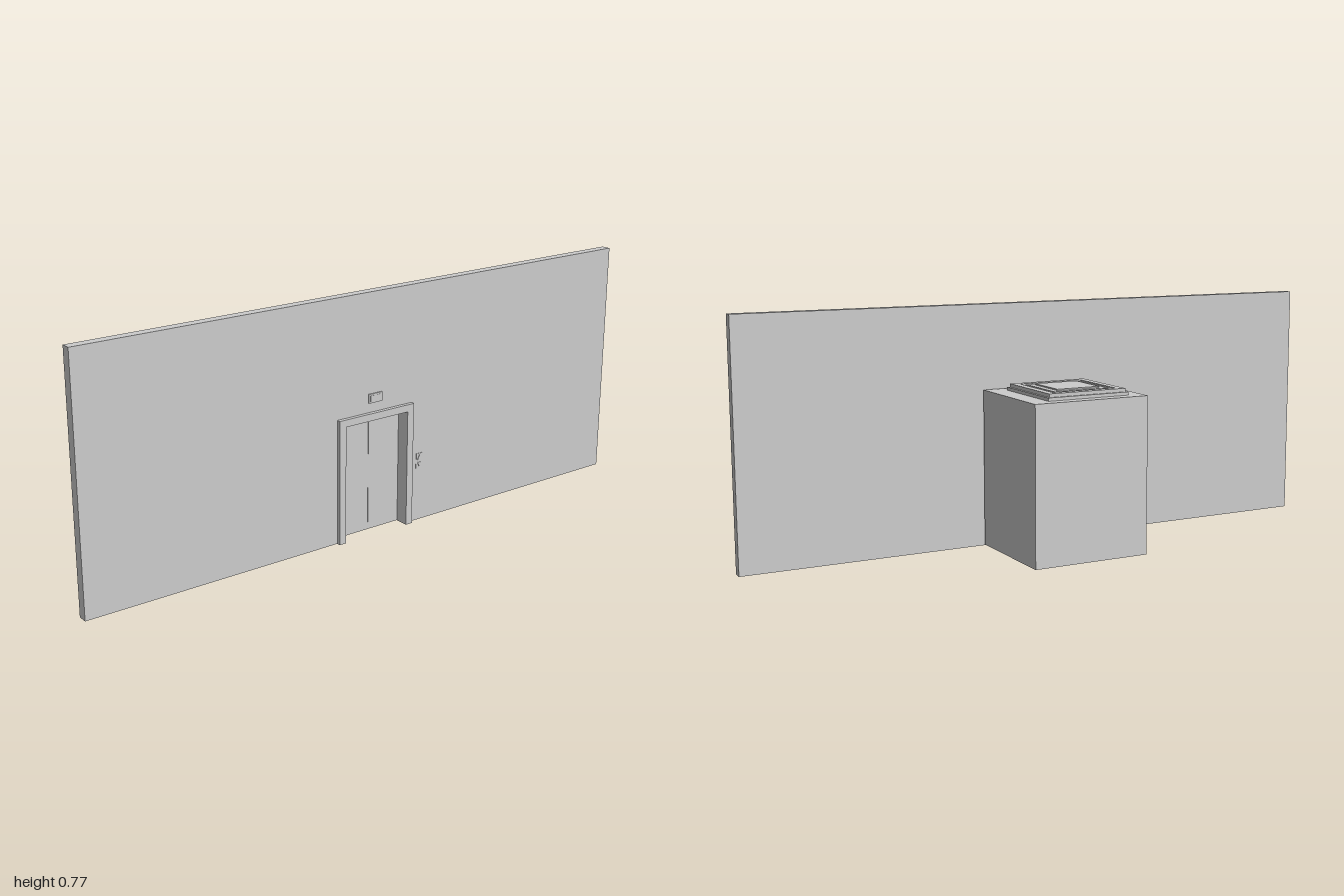
import * as THREE from 'three';

export function createModel() {
  const root = new THREE.Group();
  root.name = 'elevator';
  const grey = new THREE.MeshStandardMaterial({ color: 0xcccccc });

  const add = (parent, name, geometry) => {
    const mesh = new THREE.Mesh(geometry, grey);
    mesh.name = name;
    parent.add(mesh);
    return mesh;
  };
  const group = (name) => {
    const g = new THREE.Group();
    g.name = name;
    root.add(g);
    return g;
  };
  // Box given by its limits on each axis
  const box = (parent, name, x0, x1, y0, y1, z0, z1) => {
    const mesh = add(parent, name, new THREE.BoxGeometry(x1 - x0, y1 - y0, z1 - z0));
    mesh.position.set((x0 + x1) / 2, (y0 + y1) / 2, (z0 + z1) / 2);
    return mesh;
  };
  // Outline in (z, y) extruded along x, from x0 to x1
  const slab = (parent, name, points, x0, x1) => {
    const shape = new THREE.Shape(points.map(([z, y]) => new THREE.Vector2(z, y)));
    const geo = new THREE.ExtrudeGeometry(shape, { depth: x1 - x0, bevelEnabled: false });
    geo.rotateY(-Math.PI / 2).translate(x1, 0, 0);
    return add(parent, name, geo);
  };

  // Long landing wall with a notch for the doorway
  slab(root, 'landingWall', [
    [-1, 0], [-0.13, 0], [-0.13, 0.39], [0.13, 0.39], [0.13, 0],
    [1, 0], [1, 0.775], [-1, 0.775],
  ], 0.158, 0.189);

  // Door surround, one continuous profile
  slab(root, 'doorFrame', [
    [-0.143, 0], [-0.119, 0], [-0.119, 0.377], [0.119, 0.377], [0.119, 0],
    [0.143, 0], [0.143, 0.4], [-0.143, 0.4],
  ], 0.157, 0.202);

  // Two sliding door leaves
  const doors = group('doors');
  for (const s of [-1, 1]) {
    const z = [0.0005 * s, 0.14 * s].sort((a, b) => a - b);
    box(doors, 'doorLeaf', 0.151, 0.157, 0.001, 0.377, z[0], z[1]);
  }

  // Cab: floor, ceiling, panelled walls and door returns
  const cab = group('cab');
  const zBack = -0.202, zFront = 0.187, t = 0.014;
  const floorY = 0.004, topY = 0.505;
  box(cab, 'floor', -0.19, 0.15, floorY, 0.02, zBack + t, zFront - t);
  box(cab, 'ceiling', -0.19, 0.15, 0.49, topY, zBack + t, zFront - t);
  box(cab, 'rearWall', -0.204, -0.19, floorY, topY, zBack, zFront);
  const width = 0.34 / 3;
  for (let i = 0; i < 3; i++) {
    const x = -0.19 + i * width;
    box(cab, 'sidePanel', x, x + width, floorY, topY, zBack, zBack + t);
  }
  box(cab, 'sidePanel', -0.19, -0.19 + width, floorY, topY, zFront - t, zFront);
  box(cab, 'widePanel', -0.19 + width, 0.15, floorY, topY, zFront - t, zFront);
  box(cab, 'doorReturn', 0.136, 0.15, 0.02, 0.49, zBack + t, -0.13);
  box(cab, 'doorReturn', 0.136, 0.15, 0.02, 0.49, 0.13, zFront - t);
  box(cab, 'doorHeader', 0.136, 0.15, 0.377, 0.49, -0.13, 0.13);

  // Stepped square light housing on the cab roof
  const roof = group('roofLight');
  const cx = -0.0285;
  const square = (name, half, y0, y1) =>
    box(roof, name, cx - half, cx + half, y0, y1, -half, half);
  const ring = (name, outer, inner, y0, y1) => {
    const corners = (h) => [[-h, -h], [h, -h], [h, h], [-h, h]].map(([x, y]) => new THREE.Vector2(x, y));
    const shape = new THREE.Shape(corners(outer));
    shape.holes.push(new THREE.Path(corners(inner).reverse()));
    const geo = new THREE.ExtrudeGeometry(shape, { depth: y1 - y0, bevelEnabled: false });
    geo.rotateX(-Math.PI / 2);
    add(roof, name, geo).position.set(cx, y0, 0);
  };
  square('base', 0.139, topY, 0.515);
  ring('outerTrim', 0.132, 0.108, 0.515, 0.526);
  square('innerStep', 0.108, 0.515, 0.522);
  square('innerPlate', 0.093, 0.522, 0.525);
  square('lightPanel', 0.073, 0.525, 0.529);

  // Floor indicator above the door
  const indicator = group('floorIndicator');
  box(indicator, 'indicatorPlate', 0.189, 0.193, 0.43, 0.459, -0.026, 0.026);
  for (const z of [-0.012, 0.012]) {
    box(indicator, 'display', 0.193, 0.194, 0.435, 0.454, z - 0.008, z + 0.008);
  }

  // Call panel with up and down arrow buttons
  const call = group('callPanel');
  box(call, 'callPlate', 0.189, 0.191, 0.175, 0.225, -0.19, -0.166);
  for (const s of [-1, 1]) {
    const base = 0.2 + s * 0.004, tip = 0.2 + s * 0.02;
    slab(call, 'arrowButton', [[-0.186, base], [-0.17, base], [-0.178, tip]], 0.191, 0.193);
  }

  return root;
}
